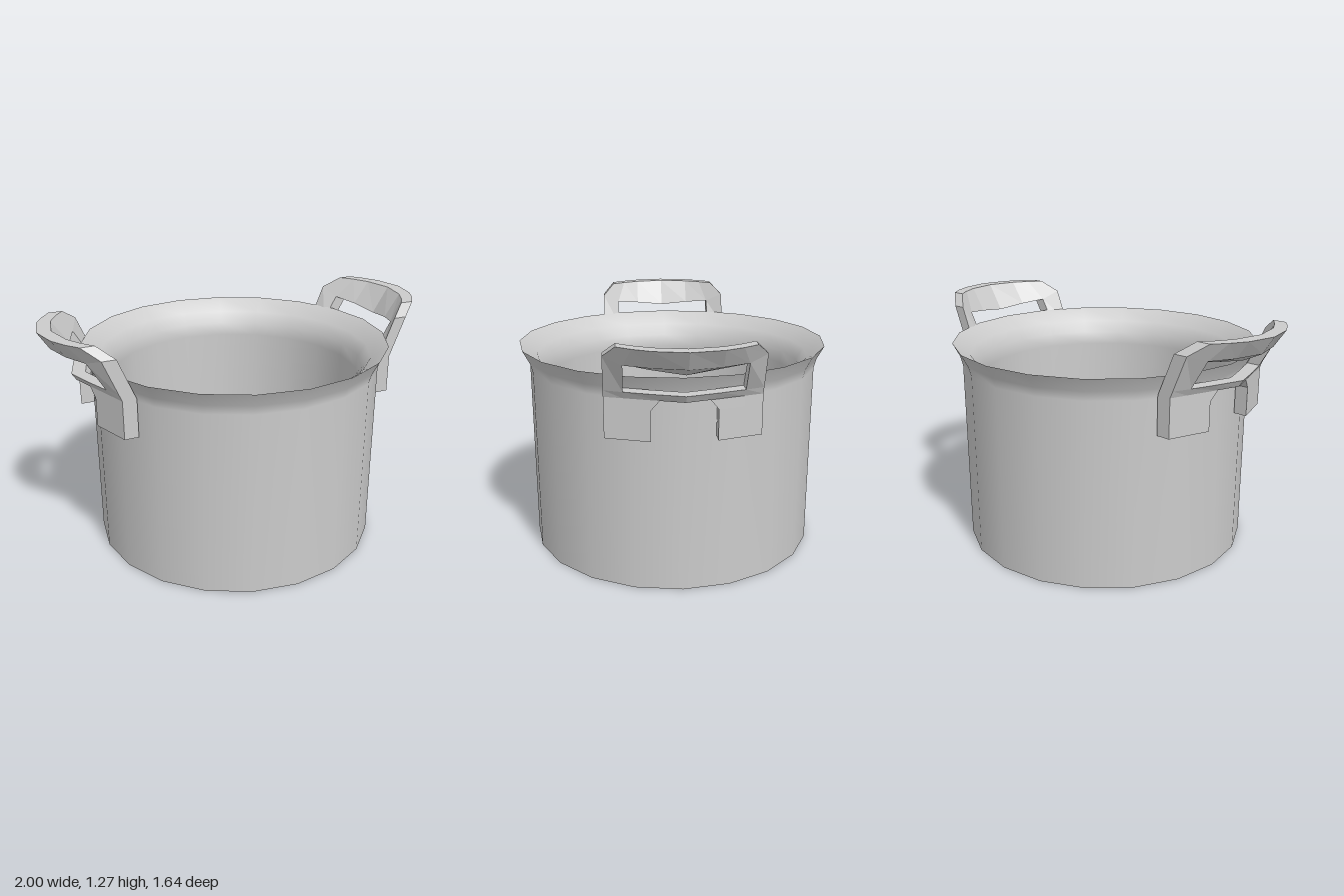
import * as THREE from 'three';

const SIDES = 20;
const TURN = THREE.MathUtils.degToRad(-4);
const material = new THREE.MeshStandardMaterial({ color: 0xcccccc, side: THREE.DoubleSide });
const handleMaterial = new THREE.MeshStandardMaterial({ color: 0xcccccc, flatShading: true });

function add(group, name, geometry, mat = material) {
  const mesh = new THREE.Mesh(geometry, mat);
  mesh.name = name;
  group.add(mesh);
  return mesh;
}

const lathe = (profile) => new THREE.LatheGeometry(
  profile.map(([r, y]) => new THREE.Vector2(r, y)), SIDES, TURN);

// Handle: a grid of cells (across, up) with openings, bent outward, given thickness
function handleGeometry() {
  const cols = [-0.37, -0.28, -0.155, 0, 0.155, 0.28, 0.37];
  const rows = [0.8, 0.95, 1.0, 1.035, 1.18, 1.27];
  const last = cols.length - 1;
  const thickness = 0.072;
  const cells = ['110011', '110011', '111111', '100001', '111111']; // bottom to top

  const filled = (i, j) => cells[j]?.[i] === '1';

  // Corner of the grid on the outer (side 0) or inner (side 1) skin
  function corner(i, j, side) {
    let s = cols[i], y = rows[j];
    const end = i === 0 || i === last;
    if (j === 5 && end) s = Math.sign(s) * 0.31;                        // cut top corners
    if (j === 5 && (i === 1 || i === last - 1)) s = Math.sign(s) * 0.24;
    if (j === 4 && end) y = 1.21;
    if (j === 2 && Math.abs(s) === 0.155) s *= 0.74;                    // cut lower opening
    if (j === 4 && !end && side) y = 1.13 + 0.12 * Math.abs(s);         // sagging grip edge
    const t = Math.max(0, (y - 1) / 0.27);
    const foot = 0.875 - 0.33 * Math.abs(s);
    const top = 1.05 - 1.35 * s * s;
    return [THREE.MathUtils.lerp(foot, top, t) - side * thickness, y, s];
  }

  const positions = [];
  const quad = (a, b, c, d) => positions.push(...a, ...b, ...c, ...a, ...c, ...d);

  for (let j = 0; j < cells.length; j++) {
    for (let i = 0; i < last; i++) {
      if (!filled(i, j)) continue;
      const ring = [[i, j], [i, j + 1], [i + 1, j + 1], [i + 1, j]];
      const outer = ring.map(([a, b]) => corner(a, b, 0));
      const inner = ring.map(([a, b]) => corner(a, b, 1));
      quad(...outer);
      quad(...[...inner].reverse());
      // Close the edges that face an opening
      [[i - 1, j], [i, j + 1], [i + 1, j], [i, j - 1]].forEach(([a, b], k) => {
        const n = (k + 1) % 4;
        if (!filled(a, b)) quad(outer[n], outer[k], inner[k], inner[n]);
      });
    }
  }
  const geometry = new THREE.BufferGeometry();
  geometry.setAttribute('position', new THREE.Float32BufferAttribute(positions, 3));
  geometry.computeVertexNormals();
  return geometry;
}

export function createModel() {
  const pot = new THREE.Group();
  pot.name = 'cookingPot';

  // Outer wall with flared lip, open at the foot
  add(pot, 'outerWall', lathe([[0.77, 0], [0.77, 0.98], [0.783, 1.03], [0.82, 1.1]]));

  // Inner wall running from the lip down to the raised floor
  add(pot, 'innerWall', lathe([[0.82, 1.1], [0.73, 1.035], [0.69, 0.97], [0.68, 0.9], [0.675, 0.1]]));

  const floor = add(pot, 'floor', new THREE.CircleGeometry(0.675, SIDES, TURN - Math.PI / 2));
  floor.rotation.x = -Math.PI / 2;
  floor.position.y = 0.1;

  // Two handles on opposite sides
  const geometry = handleGeometry();
  ['leftHandle', 'rightHandle'].forEach((name, k) => {
    add(pot, name, geometry, handleMaterial).rotation.y = THREE.MathUtils.degToRad(-22) + k * Math.PI;
  });
  return pot;
}
